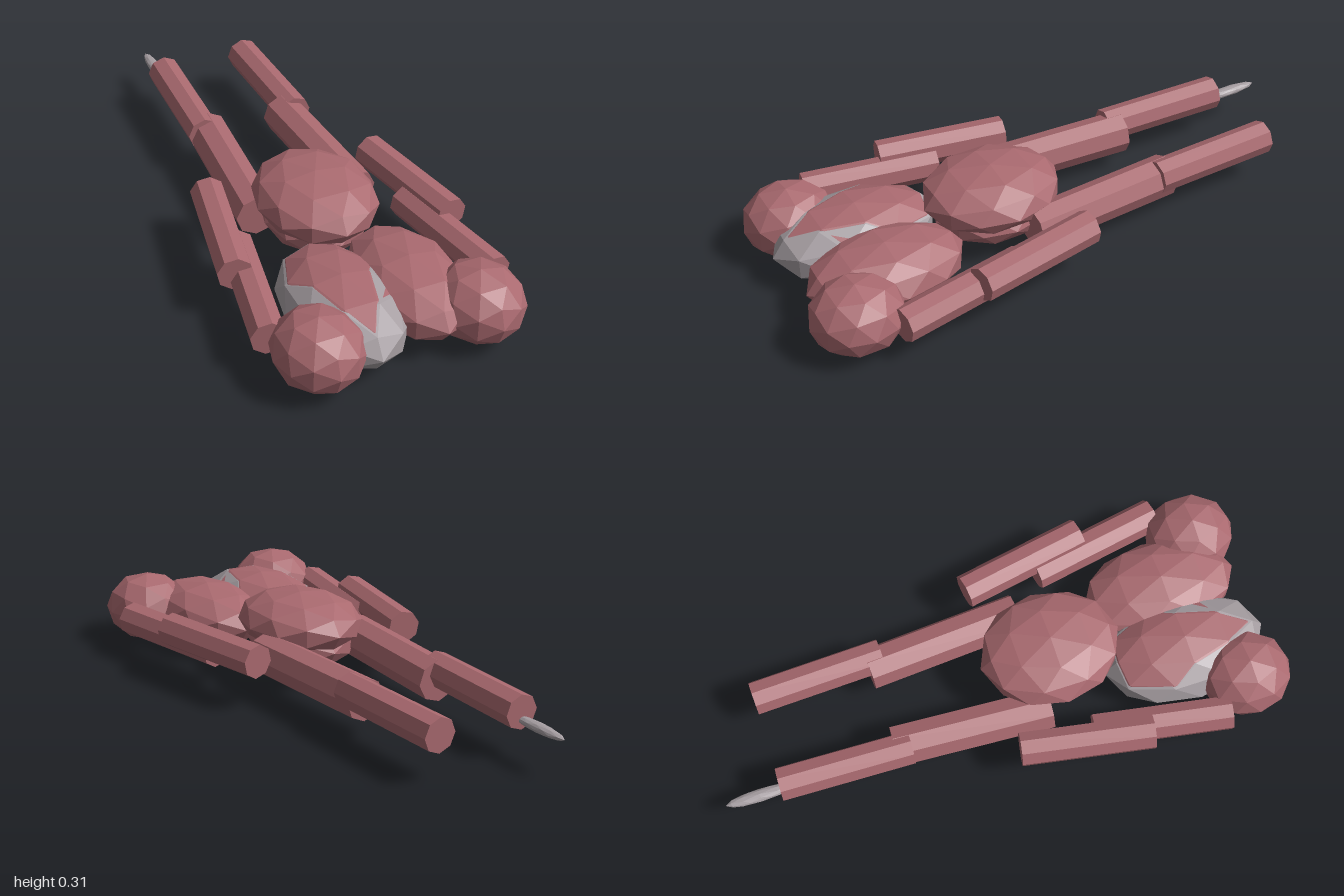
import * as THREE from 'three';

export function createModel() {
  const model = new THREE.Group();
  const skin = new THREE.MeshStandardMaterial({ color: 0xa9696f, flatShading: true });
  skin.name = 'dusty red';
  const grey = new THREE.MeshStandardMaterial({ color: 0xa69ea2, flatShading: true });
  grey.name = 'pale grey';

  // Faceted ellipsoid from centre and radii
  const blob = (name, material, centre, radii) => {
    const mesh = new THREE.Mesh(new THREE.IcosahedronGeometry(1, 1), material);
    mesh.name = name;
    mesh.position.set(...centre);
    mesh.scale.set(...radii);
    model.add(mesh);
  };

  // Faceted limb segment between two points
  const limb = (name, from, to, radius) => {
    const a = new THREE.Vector3(...from);
    const b = new THREE.Vector3(...to);
    const axis = b.clone().sub(a);
    const mesh = new THREE.Mesh(new THREE.CylinderGeometry(radius, radius, axis.length(), 8), skin);
    mesh.name = name;
    mesh.position.copy(a).add(b).multiplyScalar(0.5);
    mesh.quaternion.setFromUnitVectors(new THREE.Vector3(0, 1, 0), axis.normalize());
    model.add(mesh);
  };

  // Head and the smaller lobe beneath it
  blob('head', skin, [0, 0.207, 0.21], [0.207, 0.1, 0.25]);
  blob('lowerHead', skin, [0, 0.14, 0.205], [0.18, 0.097, 0.215]);

  // Mirrored body lobes, shoulders, arms and legs
  for (const [side, s] of [['left', 1], ['right', -1]]) {
    blob(side + 'Chest', skin, [0.118 * s, 0.132, 0.66], [0.177, 0.108, 0.28]);
    blob(side + 'Shoulder', skin, [0.277 * s, 0.132, 0.835], [0.15, 0.125, 0.162]);
    limb(side + 'UpperArm', [0.395 * s, 0.133, 0.735], [0.31 * s, 0.133, 0.265], 0.06);
    limb(side + 'Forearm', [0.388 * s, 0.173, 0.452], [0.305 * s, 0.173, 0.002], 0.06);
    limb(side + 'Thigh', [0.183 * s, 0.135, 0.15], [0.148 * s, 0.135, -0.4], 0.074);
    limb(side + 'Shin', [0.176 * s, 0.16, -0.345], [0.161 * s, 0.16, -0.807], 0.06);
  }

  // Grey plate bulging out of the right chest, and the single claw
  blob('chestPlate', grey, [-0.118, 0.12, 0.665], [0.19, 0.118, 0.295]);
  blob('claw', grey, [-0.168, 0.132, -0.88], [0.023, 0.016, 0.12]);

  return model;
}
